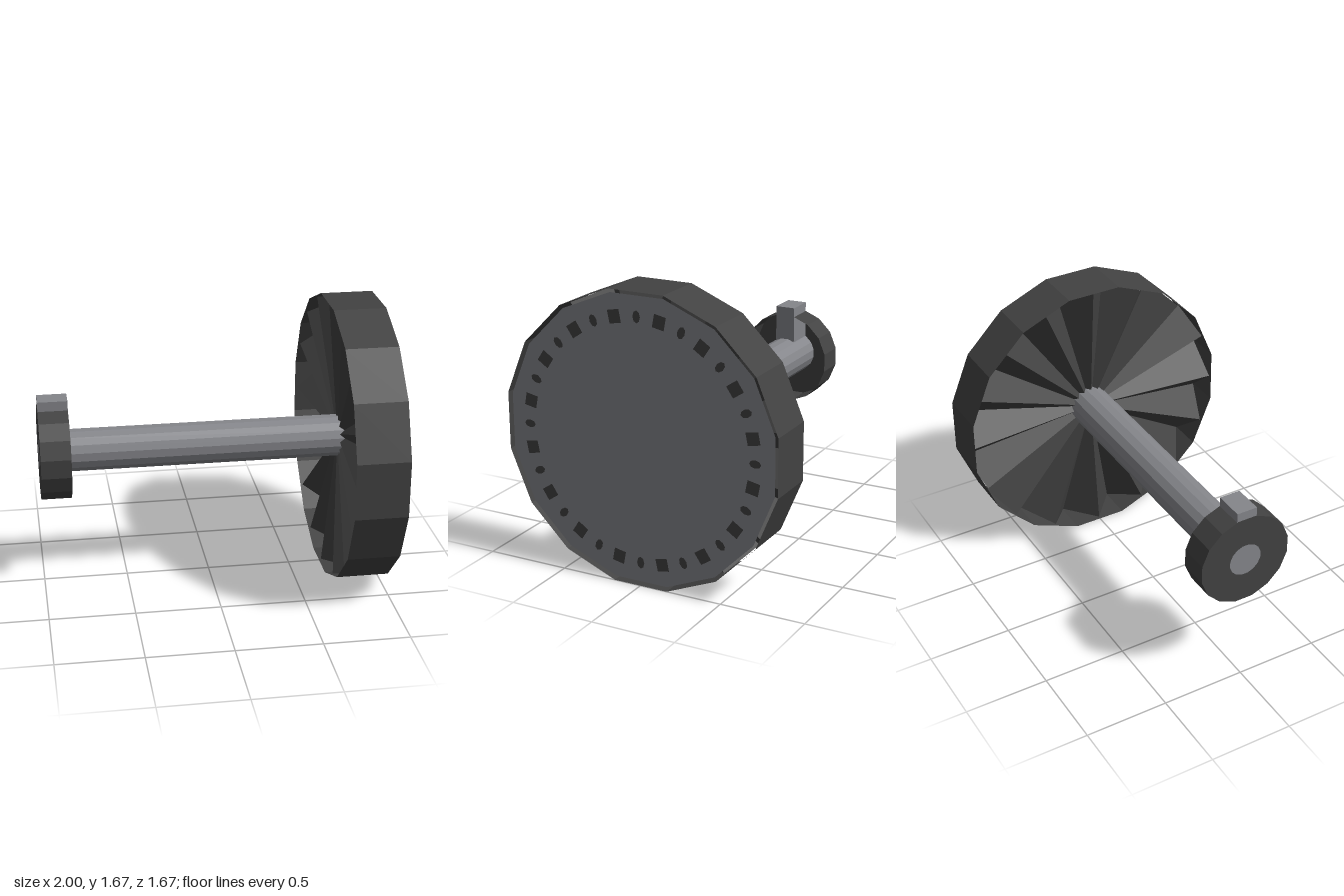
import * as THREE from 'three';

const SIDES = 16, STEP = Math.PI / SIDES, CY = 0.836;

export function createModel() {
  const dark = new THREE.MeshStandardMaterial({ color: 0x424242, flatShading: true, side: THREE.DoubleSide });
  dark.name = 'dark iron';
  const grey = new THREE.MeshStandardMaterial({ color: 0x85868b, flatShading: true, side: THREE.DoubleSide });
  grey.name = 'grey steel';

  const model = new THREE.Group();
  model.name = 'axleWithWheel';
  const add = (name, geometry, material, parent = model) => {
    const mesh = new THREE.Mesh(geometry, material);
    mesh.name = name;
    parent.add(mesh);
    return mesh;
  };
  // Prism along x with a flat side on top
  const prism = (r, x0, x1, open) =>
    new THREE.CylinderGeometry(r, r, x1 - x0, SIDES, 1, open, STEP)
      .rotateZ(-Math.PI / 2).translate((x0 + x1) / 2, CY, 0);
  // Flat polygon facing +x
  const disc = (r, x) =>
    new THREE.CircleGeometry(r, SIDES, STEP).rotateY(Math.PI / 2).translate(x, CY, 0);

  // Shaft
  add('shaft', prism(0.126, -0.998, 0.82, false), grey);

  // Large wheel: thin rim and outer plate
  const wheel = new THREE.Group();
  wheel.name = 'wheel';
  model.add(wheel);
  add('wheelRim', prism(0.852, 0.693, 1, true), dark, wheel);
  add('wheelPlate', disc(0.83, 0.988), grey, wheel);

  // Folded spokes on the inner side: ridges and valleys meeting at the hub
  const at = (i) => {
    const a = i * STEP;
    const r = i % 2 ? 0.845 : 0.845 * Math.cos(STEP);
    return [i % 2 ? 0.9 : 0.705, CY + r * Math.cos(a), r * Math.sin(a)];
  };
  const fan = [];
  for (let i = 0; i < SIDES * 2; i++) fan.push(0.78, CY, 0, ...at(i), ...at(i + 1));
  const fanGeometry = new THREE.BufferGeometry();
  fanGeometry.setAttribute('position', new THREE.Float32BufferAttribute(fan, 3));
  fanGeometry.computeVertexNormals();
  add('wheelSpokes', fanGeometry, dark, wheel);

  // Ring of studs on the outer plate, alternating oval and square
  const studs = new THREE.Group();
  studs.name = 'wheelStuds';
  wheel.add(studs);
  for (let i = 0; i < SIDES * 2; i++) {
    const shape = i % 2
      ? new THREE.PlaneGeometry(0.072, 0.075)
      : new THREE.CircleGeometry(0.5, 8).scale(0.046, 0.07, 1);
    shape.translate(0, 0.7, 0).rotateZ(i * STEP).rotateY(Math.PI / 2).translate(0.992, CY, 0);
    add('stud', shape, dark, studs);
  }

  // Small end cap: hollow cup open towards the wheel
  const cap = new THREE.Group();
  cap.name = 'endCap';
  model.add(cap);
  add('capWall', prism(0.282, -1, -0.825, true), dark, cap);
  add('capFace', disc(0.282, -1), dark, cap);
  add('capHub', disc(0.1, -1.001), grey, cap);
  add('capTab', new THREE.BoxGeometry(0.174, 0.23, 0.124).translate(-0.912, 1.052, 0), grey, cap);

  return model;
}
